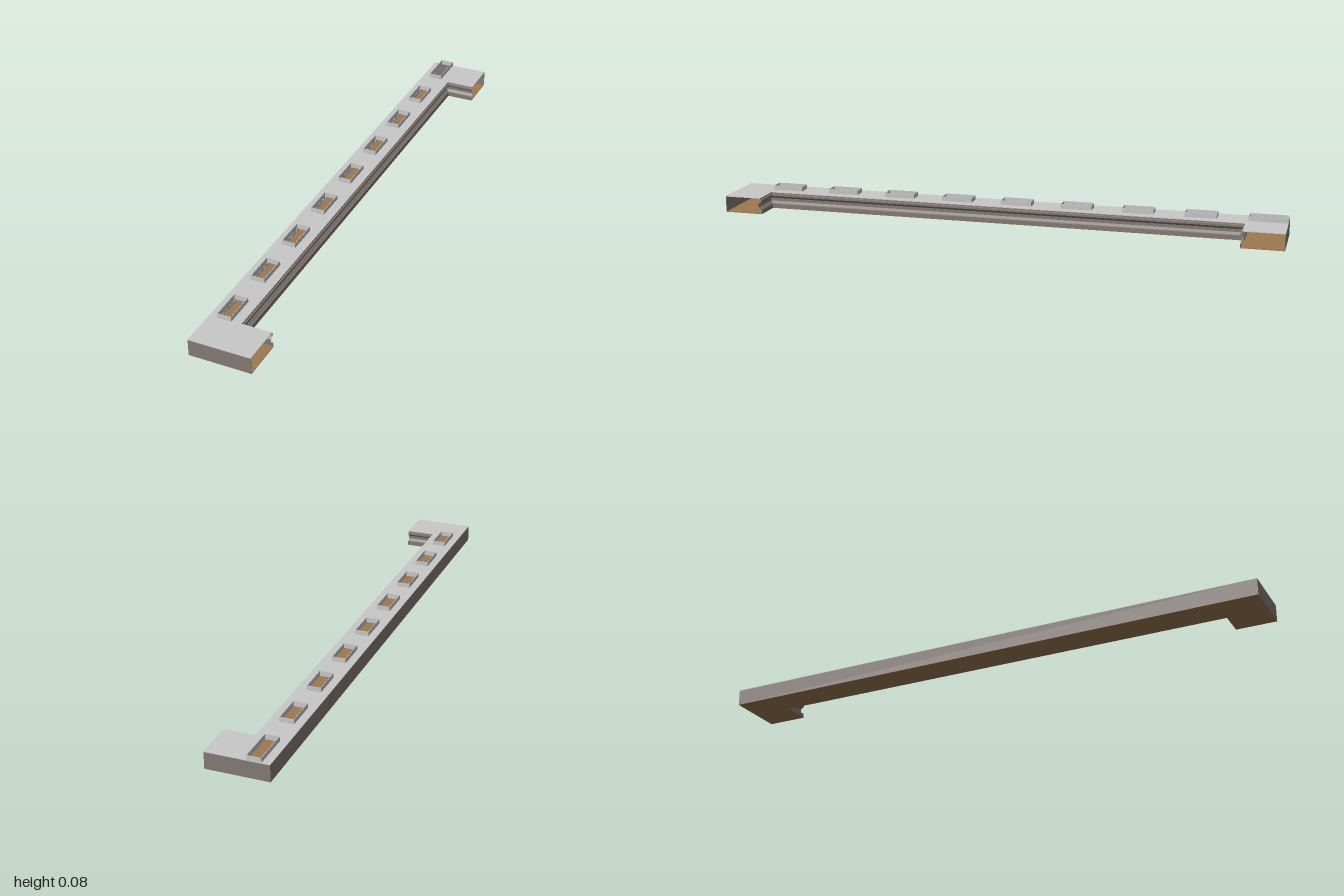
import * as THREE from 'three';
import { mergeGeometries } from 'three/addons/utils/BufferGeometryUtils.js';

const X = 0.107, TOP = 0.059, T = 0.002;
const ZB = -0.862, ZF = 0.868, XI = 0.001; // courtyard edges

function material(name, color, side = THREE.FrontSide) {
  const m = new THREE.MeshStandardMaterial({ color, side });
  m.name = name;
  return m;
}

// edge of the courtyard, moved outward by o, as [x, z]
const courtyard = (o) => [[X, ZB + o], [XI + o, ZB + o], [XI + o, ZF - o], [X, ZF - o]];

// C-shaped slab with its upper face at y
function slab(o, y, thick, holes = []) {
  const pts = [[-X, -1], [X, -1], ...courtyard(o), [X, 1], [-X, 1]];
  const shape = new THREE.Shape(pts.map(([x, z]) => new THREE.Vector2(x, z)));
  for (const [x0, x1, z0, z1] of holes) {
    shape.holes.push(new THREE.Path([[x0, z0], [x0, z1], [x1, z1], [x1, z0]].map(([x, z]) => new THREE.Vector2(x, z))));
  }
  return new THREE.ExtrudeGeometry(shape, { depth: thick, bevelEnabled: false }).rotateX(Math.PI / 2).translate(0, y, 0);
}

function box(x0, x1, y0, y1, z0, z1) {
  return new THREE.BoxGeometry(x1 - x0, y1 - y0, z1 - z0).translate((x0 + x1) / 2, (y0 + y1) / 2, (z0 + z1) / 2);
}

// banded wall swept around the courtyard: profile is [offset, y]
function sweptWall(profile) {
  const pos = [];
  for (let i = 0; i < profile.length - 1; i++) {
    const lo = courtyard(profile[i][0]), hi = courtyard(profile[i + 1][0]);
    const y0 = profile[i][1], y1 = profile[i + 1][1];
    for (let j = 0; j < 3; j++) {
      const a = [lo[j][0], y0, lo[j][1]], b = [lo[j + 1][0], y0, lo[j + 1][1]];
      const c = [hi[j + 1][0], y1, hi[j + 1][1]], d = [hi[j][0], y1, hi[j][1]];
      pos.push(...a, ...c, ...b, ...a, ...d, ...c);
    }
  }
  const g = new THREE.BufferGeometry();
  g.setAttribute('position', new THREE.Float32BufferAttribute(pos, 3));
  g.computeVertexNormals();
  return g;
}

export function createModel() {
  const group = new THREE.Group();
  const roofGrey = material('roof grey', 0xc8c8c8);
  const wallGrey = material('wall grey brown', 0x847a76);
  const bandGrey = material('courtyard wall grey brown', 0x847a76, THREE.DoubleSide);
  const floorBrown = material('floor brown', 0x9c7850);
  const add = (name, geometry, mat) => {
    const mesh = new THREE.Mesh(geometry, mat);
    mesh.name = name;
    group.add(mesh);
  };

  // skylight openings; the rearmost one runs to the end of the roof
  const skylights = [];
  for (let i = 0; i < 9; i++) {
    const z1 = 0.87 - i * 0.217;
    skylights.push([-0.079, -0.03, i === 8 ? -0.999 : z1 - 0.11, z1]);
  }
  const inner = skylights.map(([a, b, c, d]) => [a + T, b - T, c + T, d - T]);

  // floor and roof
  add('floor', slab(0.008, 0.002, 0.002), floorBrown);
  add('roof', slab(0.003, TOP, 0.002, inner), roofGrey);

  // raised skylight curbs
  const curbs = [];
  for (const [x0, x1, z0, z1] of skylights) {
    curbs.push(
      box(x0, x0 + T, TOP, 0.075, z0, z1), box(x1 - T, x1, TOP, 0.075, z0, z1),
      box(x0 + T, x1 - T, TOP, 0.075, z0, z0 + T), box(x0 + T, x1 - T, TOP, 0.075, z1 - T, z1));
  }
  add('skylightCurbs', mergeGeometries(curbs), roofGrey);

  // plain outer walls on three sides, wing ends left open
  const yw = TOP - 0.002;
  add('outerWalls', mergeGeometries([
    box(-X, X, 0.002, yw, 1 - T, 1),
    box(-X, X, 0.002, yw, -1, -1 + T),
    box(-X, -X + T, 0.002, yw, -1 + T, 1 - T),
  ]), wallGrey);

  // courtyard wall with plinth, recessed band and upper band
  add('courtyardWall', sweptWall([
    [0.008, 0.002], [0.008, 0.016], [0.004, 0.018], [-0.004, 0.025],
    [-0.004, 0.036], [0.004, 0.043], [0.008, 0.045], [0.008, 0.052], [0.003, 0.054], [0.003, yw],
  ]), bandGrey);

  // pale tiles lining the inside of the long outer wall
  const tiles = [], step = 0.0125, rows = 4, rowH = (yw - 0.004) / rows;
  for (let z = -0.995; z < 0.985; z += step) {
    for (let r = 0; r < rows; r++) {
      const y = 0.003 + r * rowH;
      tiles.push(box(-X + T, -X + T + 0.001, y, y + rowH - 0.001, z, z + step - 0.001));
    }
  }
  add('interiorTiles', mergeGeometries(tiles), roofGrey);

  return group;
}
